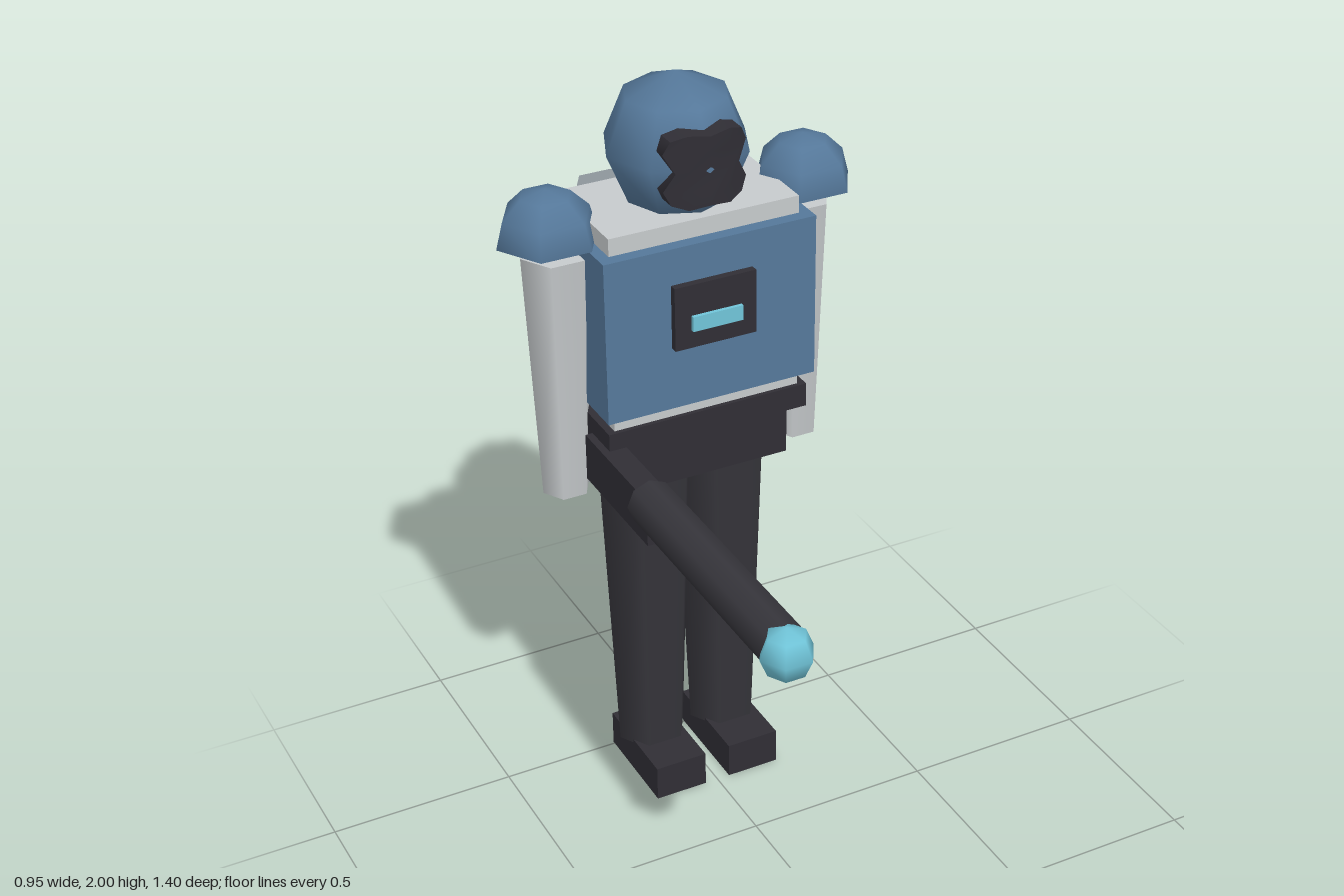
import * as THREE from 'three';

const mat = (name, color) => {
  const m = new THREE.MeshStandardMaterial({ color });
  m.name = name;
  return m;
};

export function createModel() {
  const blue = mat('armourBlue', 0x55789a);
  const pale = mat('paleGrey', 0xc6cacc);
  const grey = mat('midGrey', 0x8d959b);
  const dark = mat('charcoal', 0x36353b);
  const darker = mat('darkCharcoal', 0x302e35);
  const cyan = mat('cyanGlow', 0x70c4d8);

  const group = new THREE.Group();
  const Z = -0.41; // body axis

  const add = (name, geo, material, x, y, z) => {
    const mesh = new THREE.Mesh(geo, material);
    mesh.name = name;
    mesh.position.set(x, y, z);
    group.add(mesh);
    return mesh;
  };
  const box = (name, material, w, h, d, x, y, z) =>
    add(name, new THREE.BoxGeometry(w, h, d), material, x, y, z);
  // Six-sided upright column with corners on the x axis
  const hex = (name, material, rTop, rBottom, y0, y1, x, z) =>
    add(name, new THREE.CylinderGeometry(rTop, rBottom, y1 - y0, 6).rotateY(Math.PI / 6),
      material, x, (y0 + y1) / 2, z);

  // Head
  add('head', new THREE.SphereGeometry(0.185, 8, 4), blue, 0, 1.815, Z);

  // Visor: a curved plate with notched sides and trimmed corners
  const visorGeo = new THREE.BoxGeometry(0.22, 0.19, 0.06, 4, 4, 1);
  const p = visorGeo.attributes.position;
  for (let i = 0; i < p.count; i++) {
    let x = p.getX(i), y = p.getY(i), z = p.getZ(i);
    const side = Math.abs(x) > 0.1, mid = Math.abs(y) < 0.01;
    const edge = Math.abs(y) > 0.09;
    if (side && mid) x *= 0.76;
    if (side && edge) { x *= 0.85; y *= 0.86; }
    if (edge && Math.abs(x) < 0.01) y *= 0.93;
    if (z > 0 && mid && Math.abs(x) < 0.01) z -= 0.006;
    p.setXYZ(i, x, y, z - 3 * x * x);
  }
  visorGeo.computeVertexNormals();
  add('visor', visorGeo, darker, 0, 1.815, -0.253);

  // Torso
  box('innerTorso', pale, 0.51, 0.53, 0.3, 0, 1.415, Z);
  box('chestArmour', blue, 0.57, 0.434, 0.367, 0, 1.417, Z);
  box('chestPanel', darker, 0.22, 0.17, 0.03, 0, 1.453, -0.222);
  box('chestLight', cyan, 0.136, 0.04, 0.01, 0, 1.438, -0.198);

  // Hips
  box('belt', darker, 0.55, 0.064, 0.323, 0, 1.125, Z);
  box('pelvis', darker, 0.46, 0.133, 0.273, 0, 1.0265, -0.406);

  // Paired parts
  for (const [side, s] of [['left', 1], ['right', -1]]) {
    add(side + 'Shoulder',
      new THREE.SphereGeometry(0.131, 6, 3, 0, Math.PI * 2, 0, Math.PI / 2),
      blue, s * 0.346, 1.637, Z);
    add(side + 'ShoulderBase', new THREE.CircleGeometry(0.131, 6).rotateX(Math.PI / 2),
      blue, s * 0.346, 1.637, Z);
    hex(side + 'Arm', pale, 0.091, 0.063, 0.935, 1.6, s * 0.327, Z);
    hex(side + 'Hand', grey, 0.046, 0.046, 0.918, 1.09, s * 0.268, -0.468);
    hex(side + 'Leg', dark, 0.13, 0.095, 0.09, 0.98, s * 0.107, Z);
    box(side + 'Foot', darker, 0.145, 0.1, 0.282, s * 0.108, 0.05, -0.366);
    hex(side + 'BackTank', grey, 0.086, 0.086, 1.146, 1.634, s * 0.087, -0.627);
  }

  // Long tool held forward in the right hand
  box('toolBody', darker, 0.065, 0.127, 0.35, -0.262, 1.047, -0.175);
  add('toolBarrel', new THREE.CylinderGeometry(0.06, 0.06, 0.69, 8).rotateX(Math.PI / 2),
    dark, -0.258, 1.067, 0.285);
  add('toolTip', new THREE.SphereGeometry(0.068, 6, 4), cyan, -0.262, 1.067, 0.641);

  return group;
}
